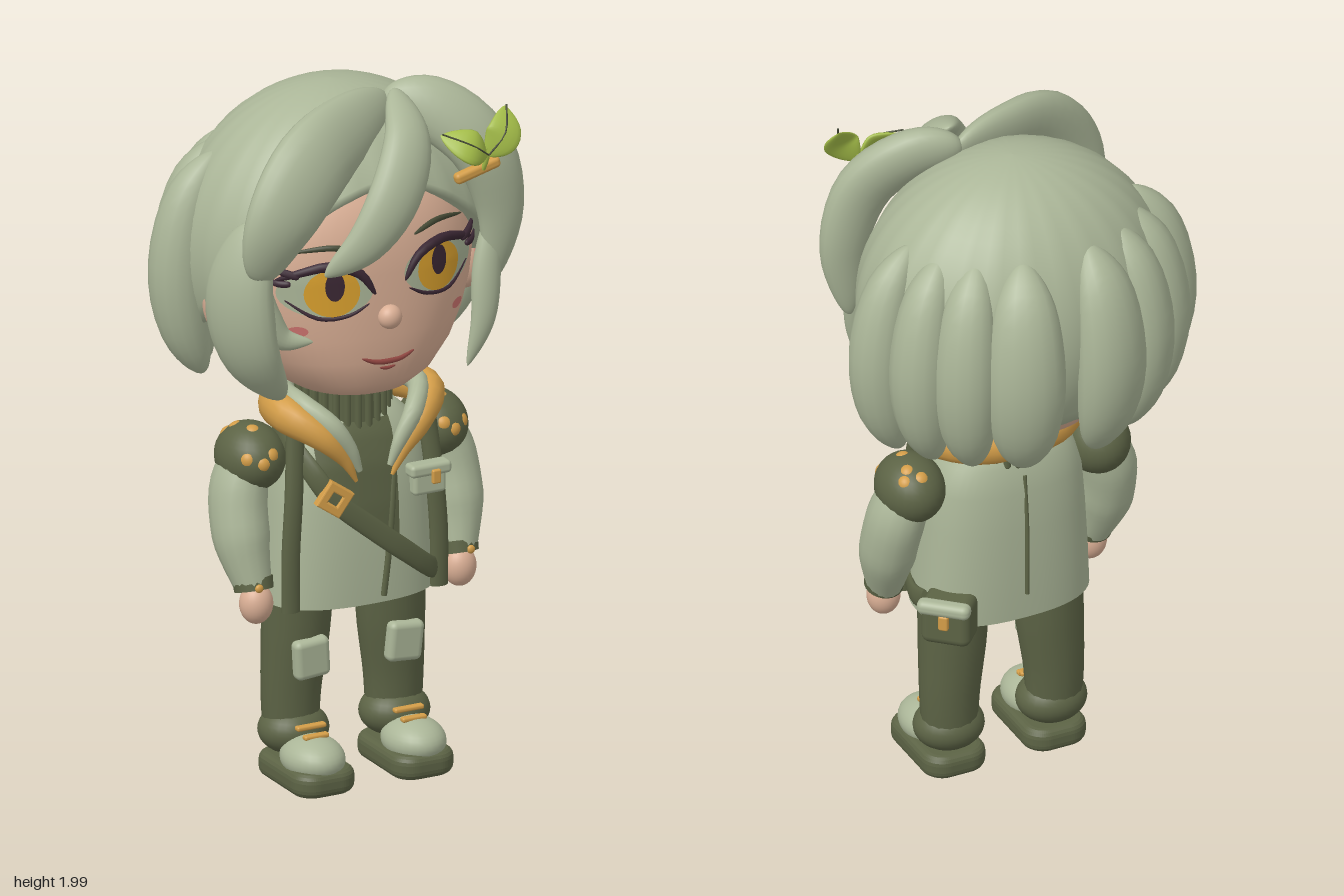
import * as THREE from 'three';
import { RoundedBoxGeometry } from 'three/addons/geometries/RoundedBoxGeometry.js';

const V = (x, y, z) => new THREE.Vector3(x, y, z);
const paint = (name, color) => Object.assign(new THREE.MeshStandardMaterial({ color }), { name });

// Closed skin over a list of rings with equal point counts
function skinRings(rings) {
  const n = rings[0].length, pos = [], idx = [];
  rings.forEach(r => r.forEach(p => pos.push(p.x, p.y, p.z)));
  for (let i = 0; i < rings.length - 1; i++) for (let j = 0; j < n; j++) {
    const k = (j + 1) % n, a = i * n + j, b = a + n, c = i * n + k, d = c + n;
    idx.push(a, b, c, c, b, d);
  }
  const g = new THREE.BufferGeometry();
  g.setAttribute('position', new THREE.Float32BufferAttribute(pos, 3));
  g.setIndex(idx);
  g.computeVertexNormals();
  return g;
}

// Upright body from sections [y, radiusX, radiusZ, centreZ] with superellipse rings
const pw = (v, e) => Math.sign(v) * Math.abs(v) ** (2 / e);
function loft(table, e, n = 48) {
  return skinRings(table.map(([y, rx, rz, cz]) => Array.from({ length: n }, (_, j) => {
    const a = j / n * Math.PI * 2;
    return V(rx * pw(Math.cos(a), e), y, cz + rz * pw(Math.sin(a), e));
  })));
}
// Front surface depth of such a body
function frontOf(table, e) {
  return (x, y) => {
    let i = 0;
    while (i < table.length - 2 && table[i + 1][0] < y) i++;
    const A = table[i], B = table[i + 1];
    const t = THREE.MathUtils.clamp((y - A[0]) / (B[0] - A[0] || 1), 0, 1);
    const [rx, rz, cz] = [1, 2, 3].map(k => A[k] + (B[k] - A[k]) * t);
    return cz + rz * Math.max(0, 1 - Math.abs(x / rx) ** e) ** (1 / e);
  };
}

// Elliptical sweep along a path; size(u) scales width and thickness, ref gives the thickness direction
function sweep(pts, w, t, size, ref = () => V(0, 0, 1), rows = 22, n = 16) {
  const curve = new THREE.CatmullRomCurve3(pts), rings = [];
  for (let i = 0; i <= rows; i++) {
    const u = (1 - Math.cos(Math.PI * i / rows)) / 2;
    const C = curve.getPoint(u), T = curve.getTangent(u), N = ref(C).clone();
    N.addScaledVector(T, -N.dot(T)).normalize();
    const B = N.clone().cross(T), s = size(u);
    const ring = Array.from({ length: n }, (_, j) => {
      const a = j / n * Math.PI * 2;
      return C.clone().addScaledVector(N, Math.cos(a) * t * s).addScaledVector(B, Math.sin(a) * w * s);
    });
    const cap = ring.map(() => C.clone());
    if (i === 0) rings.push(cap, ring);
    rings.push(ring);
    if (i === rows) rings.push(ring, cap);
  }
  return skinRings(rings);
}
const even = () => 1;
const tear = (k, p) => u => Math.max(0, Math.sin(Math.PI * Math.min(1, u) ** k)) ** p;
const steps = arr => u => {
  const f = u * (arr.length - 1), i = Math.min(arr.length - 2, Math.floor(f));
  return arr[i] + (arr[i + 1] - arr[i]) * (f - i);
};

const HEAD = [[1.115, 0, 0, .06], [1.12, .1, .15, .06], [1.14, .17, .215, .06], [1.18, .235, .26, .05], [1.25, .3, .29, .035],
  [1.32, .34, .31, .02], [1.4, .368, .322, .01], [1.5, .385, .33, 0], [1.6, .375, .325, 0], [1.7, .33, .29, 0], [1.8, .22, .2, 0], [1.86, 0, 0, 0]];
const COAT = [[.52, 0, 0, .08], [.52, .25, .165, .08], [.52, .25, .165, .08], [.65, .243, .168, .078], [.8, .233, .165, .075],
  [.92, .222, .155, .07], [1, .195, .135, .065], [1.06, .13, .1, .06], [1.08, 0, 0, .06]];

export function createModel() {
  const root = new THREE.Group();
  const sage = paint('sage', 0xabb698), olive = paint('olive', 0x5c6345), gold = paint('gold', 0xd39d48), skin = paint('skin', 0xdaaf95),
    pink = paint('pink', 0xcf7570), plum = paint('plum', 0x3a2733), leaf = paint('leaf', 0xa3bc48), amber = paint('amber', 0xd9a02e),
    lip = paint('lip', 0x8f4540), brow = paint('brow', 0x454a35);
  const add = (name, geo, mat, p = [0, 0, 0], s = [1, 1, 1], r = [0, 0, 0]) => {
    const m = new THREE.Mesh(geo, mat);
    m.name = name;
    m.position.set(...p); m.scale.set(...s); m.rotation.set(...r);
    root.add(m);
    return m;
  };
  const ball = (name, mat, p, s) => add(name, new THREE.SphereGeometry(1, 28, 18), mat, p, s);
  const box = (name, mat, p, d, rad = .012, r) => add(name, new RoundedBoxGeometry(...d, 3, rad), mat, p, undefined, r);
  const both = fn => [1, -1].forEach(fn);

  // Head and ears
  add('head', loft(HEAD, 2.3, 64), skin);
  const faceZ = frontOf(HEAD, 2.3), coatZ = frontOf(COAT, 2.5);
  ball('nose', skin, [0, 1.38, .34], [.034, .034, .03]);
  both(s => {
    ball('ear', skin, [s * .375, 1.4, .065], [.045, .09, .06]);
    ball('innerEar', pink, [s * .4, 1.4, .105], [.03, .073, .032]);
  });

  // Face details laid on the head surface
  const disc = (name, mat, x, y, rx, ry, lift) => {
    const g = new THREE.RingGeometry(.001, 1, 32, 6), p = g.attributes.position;
    for (let i = 0; i < p.count; i++) {
      const X = x + p.getX(i) * rx, Y = y + p.getY(i) * ry;
      p.setXYZ(i, X, Y, faceZ(X, Y) + lift);
    }
    g.computeVertexNormals();
    add(name, g, mat);
  };
  const line = (name, mat, pts, r, size, lift = .008) =>
    add(name, sweep(pts.map(([x, y]) => V(x, y, faceZ(x, y) + lift)), r, r * .8, size, undefined, 18, 8), mat);
  both(s => {
    const dy = s * .012, at = pts => pts.map(([x, y]) => [s * x, y + dy]);
    disc('eyeWhite', sage, s * .172, 1.482 + dy, .125, .074, .006);
    disc('iris', amber, s * .163, 1.48 + dy, .074, .068, .01);
    disc('pupil', plum, s * .16, 1.5 + dy, .026, .042, .014);
    line('upperLid', plum, at([[.045, 1.465], [.09, 1.53], [.17, 1.558], [.25, 1.54], [.305, 1.515]]), .015, tear(.9, .5), .014);
    line('lash', plum, at([[.25, 1.53], [.29, 1.545], [.315, 1.565]]), .011, tear(.5, .6), .018);
    line('lash', plum, at([[.27, 1.51], [.3, 1.51], [.325, 1.525]]), .01, tear(.5, .6), .018);
    line('lowerLid', plum, at([[.06, 1.44], [.12, 1.412], [.2, 1.408], [.28, 1.46]]), .006, tear(1, .4));
    line('eyebrow', brow, at([[.08, 1.588], [.16, 1.608], [.265, 1.595]]), .009, tear(.9, .5));
    disc('blush', pink, s * .245, 1.355, .024, .015, .006);
  });
  line('mouth', lip, [[-.08, 1.268], [-.04, 1.253], [0, 1.25], [.04, 1.253], [.08, 1.268]], .008, tear(1, .4));
  line('lowerLip', lip, [[-.025, 1.232], [0, 1.228], [.025, 1.232]], .005, tear(1, .5), .005);

  // Hair cap with a slanted hairline and a lip turned inwards
  const capRings = [];
  for (let i = -1; i <= 20; i++) capRings.push(Array.from({ length: 96 }, (_, j) => {
    const a = j / 96 * Math.PI * 2, f = Math.sin(a);
    const hem = 1.32 + (f > 0 ? f * .28 + f * f * .14 : f * .07);
    const th = Math.acos((hem - 1.52) / .44) * (1 - Math.max(i, 0) / 20);
    const r = Math.sin(th) * (1 + .006 * Math.cos(24 * a)) * (i < 0 ? .82 : 1);
    return V(.44 * r * Math.cos(a), 1.52 + .44 * Math.cos(th), .36 * r * f);
  }));
  add('hairCap', skinRings(capRings), sage);

  // Back and side locks
  const outward = p => V(p.x, (p.y - 1.45) * .5, p.z);
  const arc = [[1.79, .76], [1.67, .93], [1.48, 1.01], [1.3, .97], [1.155, .84]];
  both(s => [[10, .08, 1], [30, .085, .95], [50, .09, .95], [73, .11, 1]].forEach(([deg, w, out]) => {
    const a = deg * Math.PI / 180;
    const pts = arc.map(([y, k]) => V(s * .44 * k * out * Math.cos(a), y, -.355 * k * out * Math.sin(a)));
    add('backLock', sweep(pts, w, .08, tear(1.1, .5), outward), sage);
  }));

  // Fringe and face-framing locks
  const forward = () => V(0, .2, 1);
  const lock = (name, pts, w, t, k, p, ref = forward) => add(name, sweep(pts.map(q => V(...q)), w, t, tear(k, p), ref, 28, 20), sage);
  lock('rightFringe', [[.1, 1.93, .14], [-.06, 1.89, .21], [-.21, 1.83, .28], [-.32, 1.7, .31], [-.38, 1.53, .29]], .118, .06, 1.05, .42);
  lock('leftFringe', [[.08, 1.93, .14], [.2, 1.905, .2], [.315, 1.8, .26], [.375, 1.62, .27], [.36, 1.4, .26]], .092, .06, .8, .5);
  lock('centreFringe', [[.1, 1.97, .18], [.07, 1.87, .31], [0, 1.74, .37], [-.09, 1.62, .375], [-.2, 1.53, .34]], .078, .045, .85, .6);
  lock('rightFaceLock', [[-.36, 1.68, .24], [-.4, 1.48, .225], [-.37, 1.3, .225], [-.27, 1.15, .22]], .105, .06, .85, .5, outward);
  lock('rightCurl', [[-.37, 1.54, .27], [-.345, 1.42, .27], [-.3, 1.35, .28], [-.22, 1.335, .31]], .042, .032, .7, .7);
  lock('leftFaceLock', [[.37, 1.62, .25], [.335, 1.45, .27], [.315, 1.3, .285], [.27, 1.17, .28]], .042, .03, .8, .7);

  // Sprout hair clip
  box('clipBar', gold, [.267, 1.757, .34], [.14, .032, .03], .012, [0, 0, .25]);
  add('sproutStem', sweep([V(.28, 1.76, .35), V(.285, 1.8, .365), V(.28, 1.83, .37)], .007, .007, even, undefined, 6, 8), leaf);
  [[[.28, 1.805, .375], [.225, 1.845, .385], [.155, 1.875, .34]], [[.28, 1.805, .375], [.325, 1.865, .385], [.35, 1.93, .345]]].forEach(q => {
    const pts = q.map(c => V(...c)), tilt = () => V(0, .7, 1);
    add('sproutLeaf', sweep(pts, .05, .012, tear(.95, .75), tilt), leaf);
    add('leafRib', sweep(pts.map(c => c.clone().add(V(0, .007, .01))), .0025, .0025, even, undefined, 10, 6), brow);
  });

  // Ribbed neck
  add('neck', new THREE.CylinderGeometry(.1, .1, .16, 28), skin, [0, 1.09, .06]);
  add('neckWarmer', new THREE.CylinderGeometry(.125, .13, .13, 32), olive, [0, 1.06, .06]);
  for (let i = 0; i < 26; i++) {
    const a = i / 26 * Math.PI * 2;
    add('neckRib', new THREE.CapsuleGeometry(.011, .11, 3, 8), olive, [.128 * Math.cos(a), 1.06, .06 + .128 * Math.sin(a)]);
  }

  // Coat with dark chest panel, side edges and seams
  add('coat', loft(COAT, 2.5), sage);
  const chest = new THREE.PlaneGeometry(1, 1, 12, 12), cp = chest.attributes.position;
  for (let i = 0; i < cp.count; i++) {
    const x = -.035 + cp.getX(i) * .23, low = .84 - (x + .12) * .81, y = low + (1.03 - low) * (cp.getY(i) + .5);
    cp.setXYZ(i, x, y, coatZ(x, y) + .006);
  }
  chest.computeVertexNormals();
  add('chestPanel', chest, olive);
  const onCoat = (pts, lift) => pts.map(([x, y]) => V(x, y, coatZ(x, y) + lift));
  add('frontZip', sweep(onCoat([[.08, .95], [.06, .8], [.045, .66], [.03, .54]], .004), .009, .007, even), olive);
  add('backSeam', sweep([V(0, .97, -.074), V(0, .8, -.09), V(0, .6, -.09)], .006, .008, even), olive);
  both(s => add('coatEdge',
    sweep([V(s * .2, 1.03, .17), V(s * .215, .85, .19), V(s * .227, .68, .195), V(s * .227, .52, .195)], .027, .018, even), olive));

  // Hood collar with pale lining
  const hood = (k, dy, tip) => {
    const h = [[.055, .885, .25], [.09, .95, .25], [.15, 1.02, .235], [.215, 1.07, .16], [.2, 1.07, .05], [.12, 1.065, -.025]]
      .map(([x, y, z]) => V(x * k, y + dy, .08 + (z - .08) * (k + tip)));
    return [...h, V(0, 1.06 + dy, .08 - .125 * k), ...h.map(p => V(-p.x, p.y, p.z)).reverse()];
  };
  const hoodSize = steps([.1, .35, .7, 1, 1, .95, .9, .95, 1, 1, .7, .35, .1]);
  const liningSize = steps([.25, .6, .9, 1, .9, .8, .8, .8, .9, 1, .9, .6, .25]);
  add('hoodCollar', sweep(hood(1, 0, 0), .045, .052, hoodSize, () => V(0, 1, 0), 60), gold);
  add('hoodLining', sweep(hood(.84, .03, .18), .03, .034, liningSize, () => V(0, 1, 0), 60), sage);

  // Cross-body strap and buckle
  const strap = onCoat([[-.21, 1.02], [-.17, .92], [-.12, .84], [0, .735], [.1, .655], [.2, .58]], .016);
  strap.push(V(.255, .575, .09), V(.262, .6, 0));
  add('strap', sweep(strap, .03, .012, even, p => V(p.x, 0, p.z), 40), olive);
  const corners = (a, b) => [[-a, -b], [a, -b], [a, b], [-a, b]].map(c => new THREE.Vector2(...c));
  const frame = new THREE.Shape(corners(.036, .036));
  frame.holes.push(new THREE.Path(corners(.02, .02).reverse()));
  add('buckle', new THREE.ExtrudeGeometry(frame, { depth: .02, bevelSize: .004, bevelThickness: .004, bevelSegments: 2 }),
    gold, [-.12, .845, coatZ(-.12, .845) + .016], undefined, [0, -.15, -.6]);

  // Hip bag turned towards the back left corner
  const hipBag = new THREE.Group();
  hipBag.name = 'hipBag';
  hipBag.position.set(.212, .56, -.045);
  hipBag.rotation.y = 2.4;
  hipBag.add(
    box('bag', olive, [0, 0, 0], [.14, .135, .105], .025),
    box('bagFlap', sage, [0, .058, .055], [.15, .042, .045], .018),
    box('bagClasp', gold, [0, .015, .058], [.028, .045, .02], .006));
  root.add(hipBag);

  // Chest pouch
  box('pouch', sage, [.175, .845, .225], [.1, .08, .045]);
  box('pouchFlap', sage, [.175, .878, .232], [.125, .036, .05]);
  box('pouchClasp', gold, [.185, .86, .26], [.026, .04, .014], .005);

  // Sole outline with rounded corners
  const sole = new THREE.Shape();
  [[.03, -.085, -Math.PI / 2], [.03, .085, 0], [-.03, .085, Math.PI / 2], [-.03, -.085, Math.PI]].forEach(([x, y, a]) =>
    sole.absarc(x, y, .04, a, a + Math.PI / 2));
  const soleGeo = new THREE.ExtrudeGeometry(sole, { depth: .02, bevelSize: .023, bevelThickness: .025, bevelSegments: 4, curveSegments: 8 });

  both(s => {
    // Arms
    const arm = [V(s * .28, .95, .06), V(s * .318, .85, .065), V(s * .328, .72, .1), V(s * .315, .59, .145)];
    add('sleeve', sweep(arm, .078, .085, steps([.9, 1.03, 1, .64])), sage);
    ball('shoulder', olive, [s * .28, .937, .06], [.094, .096, .112]);
    // Flat flecks: small balls sunk into the shoulder so that only a shallow cap shows
    [[-.2, .35, 1], [.15, .1, 1], [.6, .25, .8], [.1, 1, .3], [.3, .85, -.35], [.55, .7, -.6], [0, .75, -.7]].forEach(q => {
      const d = V(...q).normalize();
      ball('shoulderFleck', gold, [s * (.28 + d.x * .07), .937 + d.y * .072, .06 + d.z * .088], [.027, .028, .0275]);
    });
    add('cuff', new THREE.CylinderGeometry(.056, .054, .034, 24), olive, [s * .315, .6, .143], undefined, [-.3, 0, 0]);
    ball('cuffButton', gold, [s * .325, .604, .197], [.012, .012, .008]);
    ball('hand', skin, [s * .312, .547, .155], [.047, .058, .045]);

    // Legs and knee pads
    add('leg', sweep([V(s * .14, .57, .075), V(s * .147, .4, .07), V(s * .157, .25, .065), V(s * .158, .12, .065)],
      .1, .088, steps([1.02, .96, .85, .78])), olive);
    box('kneePad', sage, [s * .143, .36, .153], [.105, .115, .045], .018, [.05, 0, -s * .08]);

    // Shoes
    ball('ankle', olive, [s * .155, .135, .075], [.1, .07, .09]);
    add('sole', soleGeo, olive, [s * .152, .025, .145], undefined, [-Math.PI / 2, 0, 0]);
    ball('shoeUpper', sage, [s * .155, .085, .185], [.085, .062, .105]);
    box('lace', gold, [s * .15, .165, .165], [.09, .014, .022], .006);
    box('lace', gold, [s * .15, .147, .195], [.075, .014, .022], .006);
  });
  return root;
}
